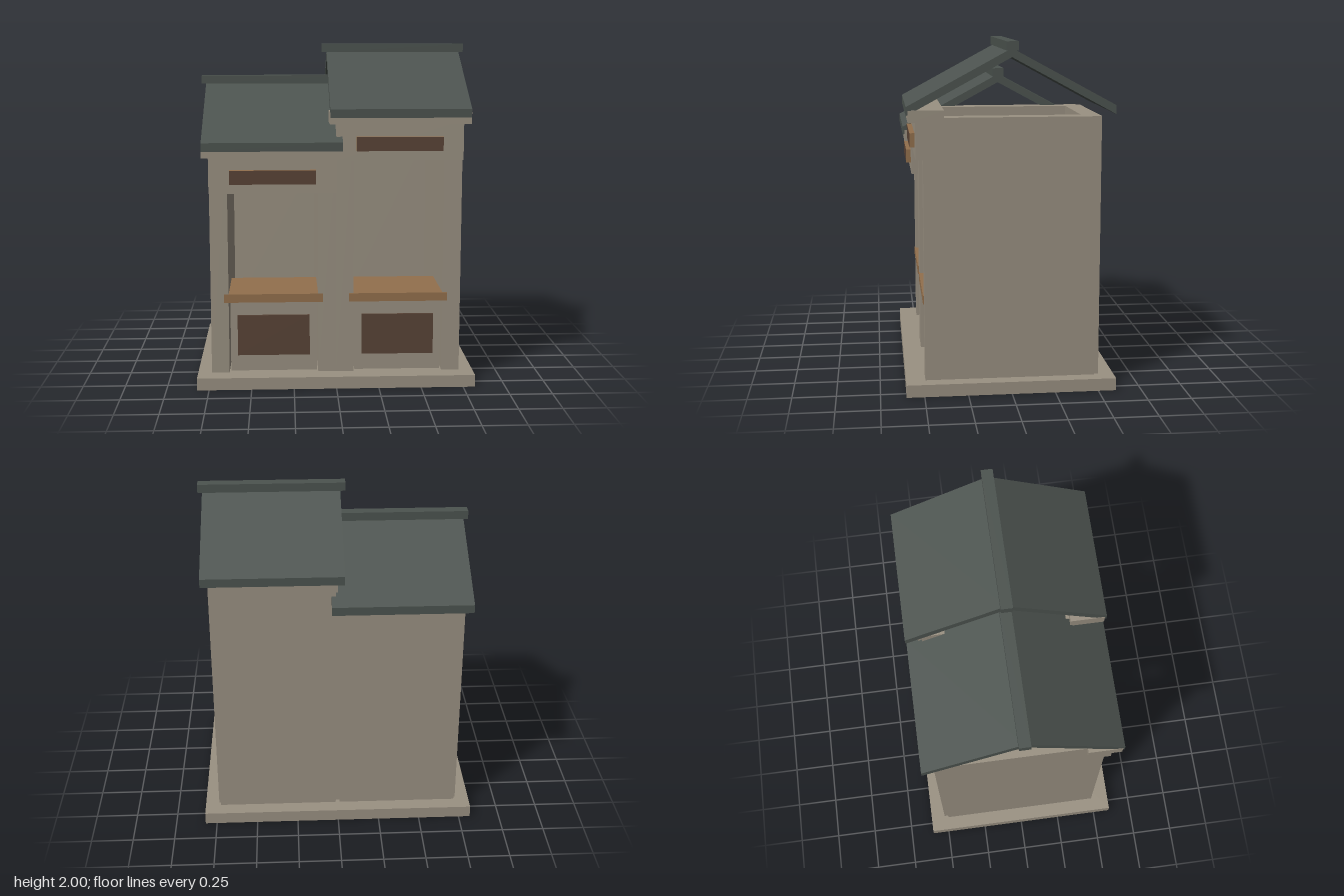
import * as THREE from 'three';

const mat = (name, color) => {
  const m = new THREE.MeshStandardMaterial({ color });
  m.name = name;
  return m;
};

export function createModel() {
  const stone = mat('stone', 0x9a9182);
  const slate = mat('slate', 0x4c534f);
  const wood = mat('wood', 0x93704d);
  const darkWood = mat('darkWood', 0x594336);

  // Box given by its minimum and maximum on each axis
  const box = (parent, name, material, [x0, x1], [y0, y1], [z0, z1]) => {
    const mesh = new THREE.Mesh(new THREE.BoxGeometry(x1 - x0, y1 - y0, z1 - z0), material);
    mesh.position.set((x0 + x1) / 2, (y0 + y1) / 2, (z0 + z1) / 2);
    mesh.name = name;
    parent.add(mesh);
    return mesh;
  };

  // Chevron roof section extruded along x
  const roof = (parent, x0, x1, drop) => {
    const s = new THREE.Shape();
    [[-0.585, 1.595], [0, 1.913], [0.585, 1.595], [0.585, 1.645], [0, 1.962], [-0.585, 1.645]]
      .forEach(([z, y], i) => (i ? s.lineTo(z, y - drop) : s.moveTo(z, y - drop)));
    const geo = new THREE.ExtrudeGeometry(s, { depth: x1 - x0, bevelEnabled: false });
    geo.rotateY(Math.PI / 2);
    const mesh = new THREE.Mesh(geo, slate);
    mesh.position.x = x0;
    mesh.name = 'roof';
    parent.add(mesh);
  };

  const model = new THREE.Group();
  model.name = 'twinStall';
  box(model, 'base', stone, [-0.82, 0.82], [0, 0.072], [-0.603, 0.603]);

  // One stall; side is +1 or -1 and mirrors it, drop lowers its top
  const stall = (name, side, drop) => {
    const g = new THREE.Group();
    g.name = name;
    model.add(g);
    const span = (a, b) => (side > 0 ? [a, b] : [-b, -a]);
    const top = 1.58 - drop;

    // Walls
    box(g, 'innerSideWall', stone, span(0, 0.105), [0.072, top], [-0.49, 0.492]);
    box(g, 'outerSideWall', stone, span(0.633, 0.738), [0.072, top], [-0.49, 0.492]);
    box(g, 'backWall', stone, span(0.012, 0.726), [0.072, top], [-0.515, -0.41]);

    // Lintel, cornice and sign board with a dark face
    box(g, 'lintel', stone, span(0, 0.738), [1.345 - drop, top], [0.43, 0.533]);
    box(g, 'cornice', stone, span(-0.038, 0.776), [1.557 - drop, 1.625 - drop], [0.375, 0.575]);
    box(g, 'signBoard', [wood, wood, wood, wood, darkWood, wood],
      span(0.117, 0.617), [1.402 - drop, 1.483 - drop], [0.53, 0.562]);

    // Counter
    box(g, 'counterFront', stone, span(0.113, 0.625), [0.072, 0.5], [0.35, 0.455]);
    box(g, 'counterPanel', darkWood, span(0.155, 0.583), [0.17, 0.414], [0.45, 0.468]);
    box(g, 'counterTop', wood, span(0.077, 0.66), [0.5, 0.55], [0.065, 0.498]);

    // Roof
    roof(g, ...span(-0.036, 0.774), drop);
    box(g, 'ridgeCap', slate, span(-0.066, 0.8), [1.95 - drop, 2 - drop], [-0.034, 0.034]);
  };
  stall('tallStall', 1, 0);
  stall('lowStall', -1, 0.19);

  return model;
}
